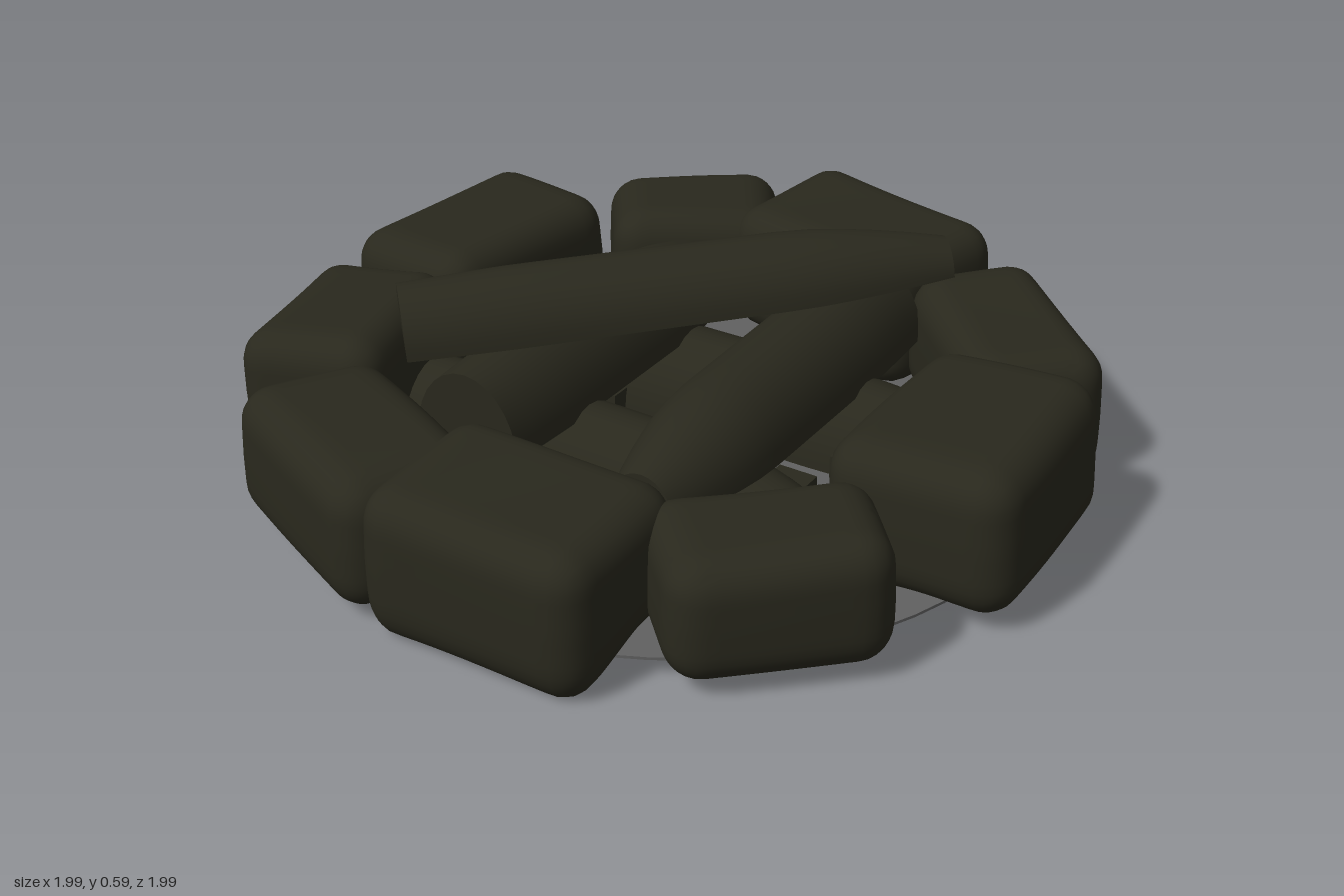
import * as THREE from 'three';
import { toCreasedNormals } from 'three/addons/utils/BufferGeometryUtils.js';

function material(name, color) {
  const m = new THREE.MeshStandardMaterial({ color });
  m.name = name;
  return m;
}

// Rounded block with a gentle wave, its underside resting on the ash and sagging beyond the rim
function stoneGeometry(w, h, d, matrix, sag, seed) {
  const g = new THREE.BoxGeometry(w, h, d, 18, 14, 18);
  const p = g.attributes.position;
  const radius = 0.08;
  const half = new THREE.Vector3(w / 2 - radius, h / 2 - radius, d / 2 - radius);
  const low = half.clone().negate();
  const v = new THREE.Vector3(), core = new THREE.Vector3();
  for (let i = 0; i < p.count; i++) {
    v.fromBufferAttribute(p, i);
    core.copy(v).clamp(low, half);
    v.sub(core).setLength(radius).add(core);
    const t = v.y / h;
    const girth = 1 - 0.05 * Math.max(0, t) - 0.05 * Math.max(0, -t - 0.2);
    const wave = 0.008 * Math.sin(seed * 2 + 6 * v.x + 4 * v.z);
    v.x *= girth * (1 + 0.025 * Math.sin(seed + 7 * v.z));
    v.z *= girth * (1 + 0.025 * Math.sin(seed * 3 + 6 * v.x));
    v.y += wave * (t + 0.5);
    v.applyMatrix4(matrix);
    const outer = THREE.MathUtils.smoothstep(Math.hypot(v.x, v.z), 0.8, 0.98);
    const floor = Math.max(0, 0.5 - t) ** 2;
    v.y = Math.max(v.y, 0.043) - sag * outer * floor;
    p.setXYZ(i, v.x, v.y, v.z);
  }
  return toCreasedNormals(g, 0.9);
}

// Split log along x: flat underside, round top, broad left end, tapered right end
function logGeometry(length, width, height) {
  const g = new THREE.CylinderGeometry(1, 1, 1, 28, 16);
  g.rotateZ(-Math.PI / 2);
  const p = g.attributes.position;
  for (let i = 0; i < p.count; i++) {
    const t = p.getX(i) + 0.5;
    const tip = Math.max(0, (t - 0.7) / 0.3);
    const butt = Math.max(0, (0.2 - t) / 0.2);
    const s = 1 - 0.45 * tip ** 1.6 - 0.07 * butt;
    const top = height * s * (1.06 - 0.12 * t);
    p.setXYZ(i, p.getX(i) * length, Math.max(0, p.getY(i)) * top, p.getZ(i) * width / 2 * s);
  }
  return toCreasedNormals(g, 0.6);
}

export function createModel() {
  const group = new THREE.Group();
  const dark = material('charred olive', 0x29281d);
  const ash = material('ash grey', 0x616161);

  const add = (name, geometry, mat, position = [0, 0, 0], rotation = [0, 0, 0]) => {
    const mesh = new THREE.Mesh(geometry, mat);
    mesh.name = name;
    mesh.position.set(...position);
    mesh.rotation.set(...rotation);
    group.add(mesh);
  };

  // Ash bed
  add('ashBed', new THREE.CylinderGeometry(0.88, 0.88, 0.007, 64), ash, [0, 0.037, 0]);

  // Ring of stones: x, z, width, depth, top, turn, outward lift of the top, sag at the rim
  const stones = [
    [0.765, 0.015, 0.44, 0.585, 0.375, 0.03, 0.05, 0.015],
    [0.6, -0.505, 0.54, 0.34, 0.35, -0.77, 0, 0.05],
    [0.08, -0.74, 0.6, 0.41, 0.385, -0.24, 0.05, 0.02],
    [-0.385, -0.675, 0.455, 0.35, 0.345, 0.6, 0, 0.01],
    [-0.77, -0.255, 0.39, 0.585, 0.365, -0.14, -0.06, 0.01],
    [-0.77, 0.29, 0.37, 0.515, 0.345, 0.23, -0.05, 0.01],
    [-0.39, 0.725, 0.575, 0.36, 0.345, -0.44, 0, 0.015],
    [0.085, 0.777, 0.57, 0.43, 0.355, 0.02, -0.02, 0.05],
    [0.58, 0.565, 0.5, 0.345, 0.33, 0.75, 0, 0.01],
  ];
  stones.forEach(([x, z, w, d, top, turn, lift, sag], i) => {
    const r = Math.hypot(x, z);
    const tilt = new THREE.Matrix4().makeRotationAxis(new THREE.Vector3(-z / r, 0, x / r), lift);
    const matrix = new THREE.Matrix4().makeTranslation(x, (0.036 + top) / 2, z)
      .multiply(tilt).multiply(new THREE.Matrix4().makeRotationY(turn));
    add('ringStone' + (i + 1), stoneGeometry(w, top - 0.036, d, matrix, sag, i + 1), dark);
  });

  // Stacked split logs: two below, two across, one leaning on top
  const low = logGeometry(1.1, 0.29, 0.2);
  const mid = logGeometry(1.04, 0.3, 0.185);
  add('lowerLogBack', low, dark, [-0.03, 0.03, -0.21], [0, Math.PI, 0.012]);
  add('lowerLogFront', low, dark, [-0.01, 0.03, 0.235], [0, 0, 0.012]);
  add('middleLogLeft', mid, dark, [-0.25, 0.21, -0.01], [0, Math.PI / 2, 0]);
  add('middleLogRight', mid, dark, [0.24, 0.21, 0.015], [0, -Math.PI / 2, 0]);
  add('topLog', logGeometry(1.29, 0.25, 0.135), dark, [0.005, 0.435, 0.015], [0, 0.747, 0.06]);

  // Loose chips in the ash: x, z, width, depth, turn
  const chips = [
    [-0.48, 0.055, 0.12, 0.07, 0], [-0.575, 0.14, 0.04, 0.14, 0],
    [-0.06, 0.4, 0.11, 0.05, -0.1], [-0.1, 0.47, 0.05, 0.09, 0],
    [0.42, -0.08, 0.08, 0.05, 0], [0.49, -0.2, 0.06, 0.2, 0],
    [0.35, 0.08, 0.1, 0.08, 0], [0.24, 0.38, 0.1, 0.08, 0],
    [-0.32, 0.42, 0.08, 0.07, 0], [-0.25, -0.06, 0.09, 0.08, 0],
  ];
  chips.forEach(([x, z, w, d, turn], i) =>
    add('woodChip' + (i + 1), new THREE.BoxGeometry(w, 0.07, d), dark, [x, 0.064, z], [0, turn, 0]));

  return group;
}
